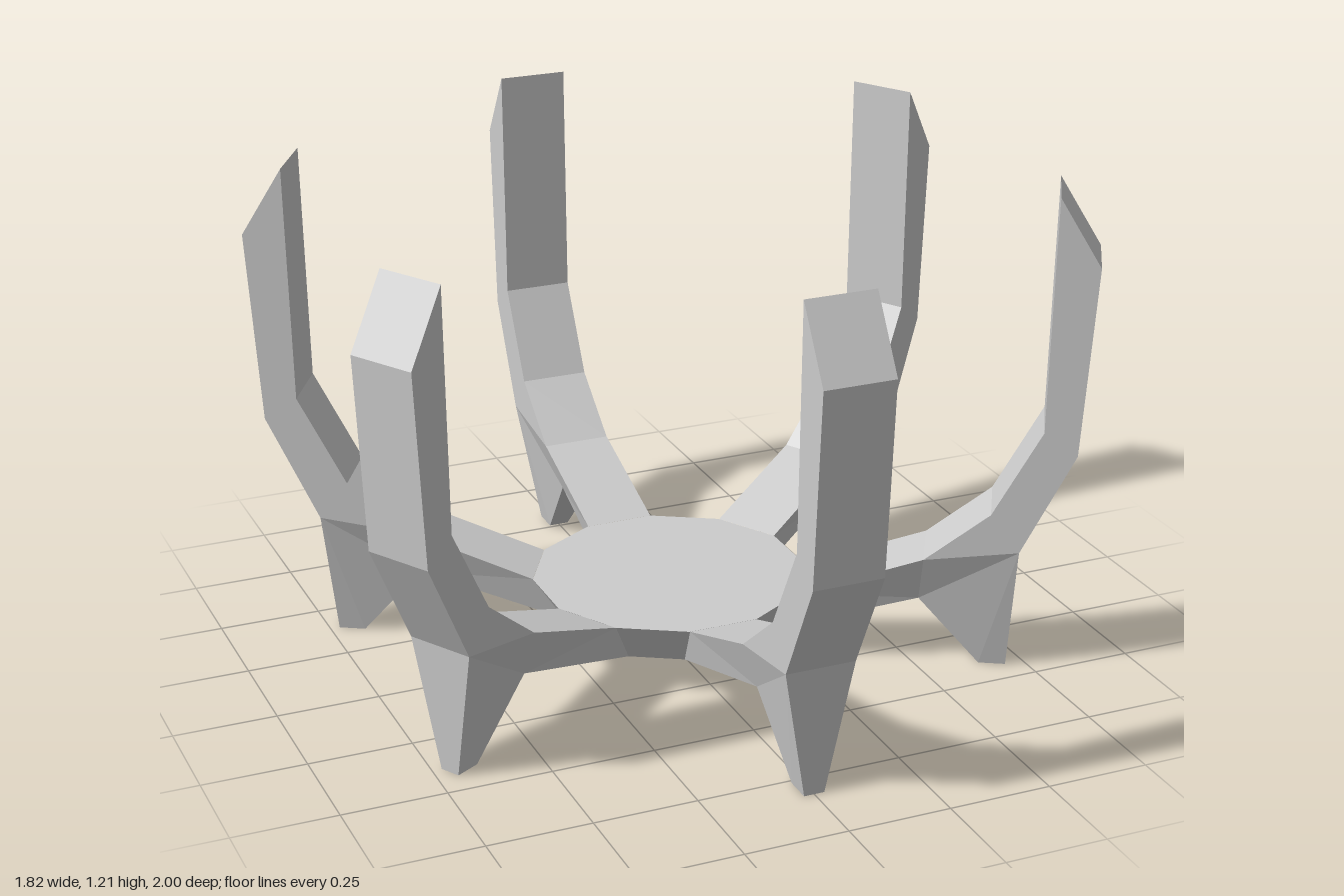
import * as THREE from 'three';

const material = new THREE.MeshStandardMaterial({ color: 0xcccccc, flatShading: true });

// Four-sided loft along +z. Each section: [upper z, y, half width, lower z, y, half width]
function loft(sections) {
  const pos = [];
  const quad = (a, b, c, d) => pos.push(...a, ...b, ...c, ...a, ...c, ...d);
  const corners = ([iz, iy, iw, oz, oy, ow]) => ({
    il: [-iw, iy, iz], ir: [iw, iy, iz], ol: [-ow, oy, oz], or: [ow, oy, oz],
  });
  const s = sections.map(corners);
  for (let k = 0; k < s.length - 1; k++) {
    const a = s[k], b = s[k + 1];
    quad(a.ir, b.ir, b.or, a.or); // right side
    quad(a.il, a.ol, b.ol, b.il); // left side, folded on the same diagonal
    pos.splice(pos.length - 18, 18);
    quad(a.il, a.ol, b.ol, b.il);
    quad(a.il, b.il, b.ir, a.ir); // inner face
    quad(a.ol, a.or, b.or, b.ol); // outer face
  }
  const e = s[s.length - 1];
  quad(e.il, e.ol, e.or, e.ir); // end cap
  const g = new THREE.BufferGeometry();
  g.setAttribute('position', new THREE.Float32BufferAttribute(pos, 3));
  g.computeVertexNormals();
  return g;
}

export function createModel() {
  const model = new THREE.Group();
  model.name = 'clawStand';

  // Tapered twelve-sided hub
  const hub = new THREE.Mesh(
    new THREE.CylinderGeometry(0.335, 0.26, 0.11, 12, 1, false, Math.PI / 12), material);
  hub.position.y = 0.135;
  hub.name = 'hub';
  model.add(hub);

  // Curved prong from the hub to its bevelled tip
  const w = 0.085;
  const prongGeometry = loft([
    [0.324, 0.19, w, 0.251, 0.08, 0.067],
    [0.62, 0.295, w, 0.61, 0.175, 0.044],
    [0.775, 0.42, w, 0.845, 0.325, w],
    [0.89, 0.635, w, 0.97, 0.58, w],
    [0.9, 1.21, w, 1.0, 1.045, w],
  ]);

  // Tapered foot under the bend
  const footGeometry = loft([
    [0.845, 0.325, w, 0.61, 0.175, 0.044],
    [0.825, 0, 0.025, 0.76, 0, 0.025],
  ]);

  // Six arms around the hub
  for (let i = 0; i < 6; i++) {
    const arm = new THREE.Group();
    arm.name = `arm${i + 1}`;
    const prong = new THREE.Mesh(prongGeometry, material);
    prong.name = 'prong';
    const foot = new THREE.Mesh(footGeometry, material);
    foot.name = 'foot';
    arm.add(prong, foot);
    arm.rotation.y = (i * Math.PI) / 3;
    model.add(arm);
  }
  return model;
}
